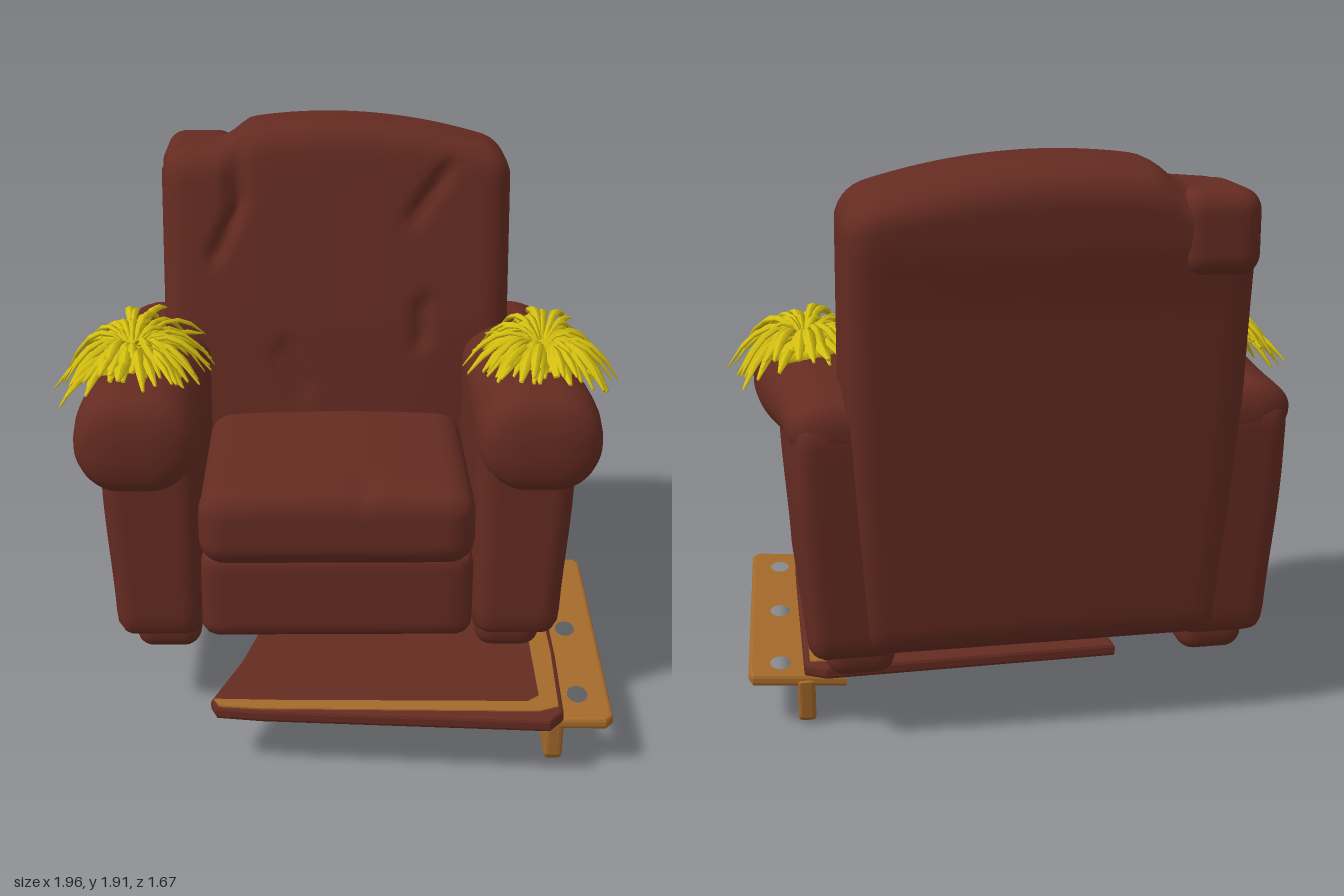
import * as THREE from 'three';
import { mergeGeometries, mergeVertices } from 'three/addons/utils/BufferGeometryUtils.js';

const clamp = THREE.MathUtils.clamp, smooth = THREE.MathUtils.smoothstep, lerp = THREE.MathUtils.lerp;
const leather = new THREE.MeshStandardMaterial({ color: 0x642b21 });
leather.name = 'leather brown';
const wood = new THREE.MeshStandardMaterial({ color: 0xa4692a });
wood.name = 'wood orange';
const grass = new THREE.MeshStandardMaterial({ color: 0xd2bd10 });
grass.name = 'grass yellow';

// piecewise linear curve through [x, y] pairs
function curve(points, x) {
  for (let i = 1; i < points.length; i++) {
    const [x0, y0] = points[i - 1], [x1, y1] = points[i];
    if (x <= x1) return lerp(y0, y1, clamp((x - x0) / (x1 - x0), 0, 1));
  }
  return points[points.length - 1][1];
}

// padded block between two corners, rounded by r, then shaped by a rule on each vertex
function pad(name, [x0, x1], [y0, y1], [z0, z1], r, rule = () => {}, n = 18) {
  const h = new THREE.Vector3(x1 - x0, y1 - y0, z1 - z0).multiplyScalar(0.5);
  const centre = new THREE.Vector3(x0 + x1, y0 + y1, z0 + z1).multiplyScalar(0.5);
  let g = new THREE.BoxGeometry(h.x * 2, h.y * 2, h.z * 2, n, n, n);
  g.deleteAttribute('uv');
  g.deleteAttribute('normal');
  g = mergeVertices(g);
  const p = g.attributes.position, v = new THREE.Vector3(), inner = new THREE.Vector3();
  const lim = h.clone().subScalar(r);
  for (let i = 0; i < p.count; i++) {
    v.fromBufferAttribute(p, i);
    inner.copy(v).clamp(lim.clone().negate(), lim);
    v.sub(inner).setLength(r).add(inner).add(centre);
    rule(v);
    p.setXYZ(i, v.x, v.y, v.z);
  }
  g.computeVertexNormals();
  return named(name, g, leather);
}

function named(name, geometry, material) {
  const m = new THREE.Mesh(geometry, material);
  m.name = name;
  return m;
}

// small creases in the backrest: x0, y0, x1, y1, depth
const creases = [[-0.36, 1.82, -0.35, 1.62, 0.05], [-0.35, 1.62, -0.43, 1.45, 0.035],
  [0.4, 1.75, 0.28, 1.58, 0.03], [0.31, 1.26, 0.31, 1.13, 0.03], [-0.2, 1.1, -0.12, 0.95, 0.02]];

function creaseDepth(x, y) {
  let d = 0;
  for (const [ax, ay, bx, by, depth] of creases) {
    const ex = bx - ax, ey = by - ay;
    const t = clamp(((x - ax) * ex + (y - ay) * ey) / (ex * ex + ey * ey), 0, 1);
    d = Math.max(d, depth * Math.exp(-((Math.hypot(x - ax - ex * t, y - ay - ey * t) / 0.025) ** 2)));
  }
  return d;
}

// arched top edge with a lower step at one corner
const crown = (x) => lerp(1.82 + (x + 0.38) * 0.08, 1.905 - 0.26 * (x + 0.03) ** 2, smooth(x, -0.42, -0.3));
const frontZ = [[0.3, -0.25], [0.85, -0.29], [1.2, -0.32], [1.75, -0.395], [1.9, -0.42]];
const rearZ = [[0.3, -0.64], [1.45, -0.79], [1.65, -0.825], [1.9, -0.835]];

// leaning backrest
function backrest() {
  return pad('backrest', [-0.63, 0.63], [0.3, 1.9], [-0.21, 0.21], 0.09, (v) => {
    const f = (v.z + 0.21) / 0.42;
    v.y = 0.3 + (v.y - 0.3) * (crown(v.x) - 0.3) / 1.6;
    const bulge = 0.02 * Math.cos(v.x * 2.4), y = v.y;
    v.z = lerp(curve(rearZ, y) - bulge * 0.3, curve(frontZ, y) + bulge, f);
    if (f > 0.5) v.z -= creaseDepth(v.x, y);
    // top slopes down to the rear
    v.y -= 0.035 * smooth(y, 1.6, 1.85) * smooth(1 - f, 0.55, 1);
    v.x *= lerp(0.96, 1, smooth(y, 0.3, 1.2));
  }, 44);
}

// arm with a rolled top; s is the side
function arm(s) {
  const side = new THREE.Group();
  side.name = s > 0 ? 'leftArm' : 'rightArm';
  const span = (a, b) => (s > 0 ? [a, b] : [-b, -a]);
  const lean = (v) => { v.z -= 0.075 * smooth(-v.z, -0.2, 0.6) * (v.y - 0.3) / 0.8; };
  side.add(pad('armPanel', span(0.46, 0.79), [0.29, 1.12], [-0.63, 0.41], 0.07, (v) => {
    const a = v.x * s;
    v.x = s * (a - 0.03 * smooth(a, 0.5, 0.79) * smooth(-v.y, -0.9, -0.3));
    lean(v);
  }));
  side.add(pad('armRoll', span(0.46, 0.875), [0.85, 1.2], [-0.7, 0.45], 0.165, (v) => {
    // squarer ends with a tight edge
    const q = Math.abs(v.z + 0.125) - 0.41;
    if (q > 0) v.z = -0.125 + Math.sign(v.z + 0.125) * (0.41 + 0.165 * (q / 0.165) ** 0.4);
    const back = smooth(-v.z, -0.35, 0.65), a = v.x * s;
    v.x = s * (a - 0.07 * back * smooth(a, 0.5, 0.87));
    v.y += 0.14 * back * clamp((1.19 - v.y) / 0.35, 0, 1) - 0.015 * back;
    v.y -= 0.02 * smooth(v.z, 0.25, 0.45);
  }, 28));
  side.add(pad('frontFoot', span(0.475, 0.7), [0.225, 0.5], [0.06, 0.36], 0.06, undefined, 12));
  side.add(pad('backFoot', span(0.475, 0.7), [0.22, 0.5], [-0.58, -0.23], 0.06, undefined, 12));
  return side;
}

// tuft of spiky drooping blades lying over an arm
function tuft(s) {
  let seed = s > 0 ? 17 : 91;
  const rnd = () => (seed = (seed * 16807) % 2147483647) / 2147483647;
  rnd();
  const blades = [];
  for (let i = 0; i < 95; i++) {
    const a = i * 2.39996 + rnd() * 0.5, c = Math.cos(a), sn = Math.sin(a);
    const reach = 0.5 + 0.5 * rnd();
    const rx = 0.285 * reach, rz = 0.4 * reach;
    const outward = c * s > 0 ? 0.24 : 0.13;
    const lift = 0.1 + 0.22 * rnd();
    const drop = lift + (outward * c * c * (0.6 + 0.4 * rnd()) - 0.06 * rnd()) * reach * reach;
    const w = 0.014 + 0.009 * rnd();
    const g = new THREE.CylinderGeometry(0.5, 0.6, 1, 5, 5);
    const p = g.attributes.position;
    for (let j = 0; j < p.count; j++) {
      const t = p.getY(j) + 0.5, r = w * (0.55 + Math.sin(Math.PI * t * t));
      const u = p.getX(j) * r * 1.3, q = 0.08 + 0.92 * t;
      p.setXYZ(j, s * 0.705 + c * rx * q - sn * u,
        1.205 + lift * q - drop * q * q + p.getZ(j) * r * 0.7, 0.025 + sn * rz * q + c * u);
    }
    g.computeVertexNormals();
    blades.push(g);
  }
  blades.push(new THREE.SphereGeometry(1, 16, 8).scale(0.14, 0.05, 0.2).translate(s * 0.71, 1.19, 0.03));
  return named(s > 0 ? 'leftGrassTuft' : 'rightGrassTuft', mergeGeometries(blades), grass);
}

// flat plate from [x, z] points with its top at y
function plate(name, points, y, thick, material, bevel = 0, holes = []) {
  const shape = new THREE.Shape(points.map(([x, z]) => new THREE.Vector2(x, z)));
  shape.holes = holes;
  const g = new THREE.ExtrudeGeometry(shape, { depth: thick - 2 * bevel, bevelEnabled: bevel > 0,
    bevelSize: bevel, bevelThickness: bevel, bevelOffset: -bevel, bevelSegments: 2, curveSegments: 16 });
  return named(name, g.rotateX(Math.PI / 2).translate(0, y - bevel, 0), material);
}

// loose footboard with its trim
function footboard() {
  const g = new THREE.Group();
  g.name = 'footboard';
  g.add(plate('board', [[-0.42, 0.67], [-0.4, 0.72], [-0.25, 0.745], [0.68, 0.83], [0.73, 0.77], [0.75, 0.4],
    [0.77, -0.46], [0.7, -0.5], [-0.28, -0.46], [-0.25, 0.1], [-0.33, 0.42]], 0.225, 0.045, leather, 0.012));
  g.add(plate('boardTrim', [[-0.41, 0.672], [-0.39, 0.715], [-0.25, 0.735], [0.65, 0.775], [0.715, 0.75],
    [0.735, 0.4], [0.75, -0.45], [0.69, -0.45], [0.66, 0.68], [0.62, 0.715], [-0.2, 0.685]], 0.229, 0.006, wood));
  g.rotation.z = 0.012;
  return g;
}

// rail beside the board: pierced flange over a web
function rail() {
  const g = new THREE.Group();
  g.name = 'rail';
  const holes = [0.61, 0.16, -0.3].map((z) => new THREE.Path().absellipse(0.83, z, 0.046, 0.065, 0, Math.PI * 2, true));
  const flange = plate('railFlange', [[0.61, 0.755], [0.91, 0.77], [0.935, 0.74], [0.935, -0.36], [0.92, -0.4],
    [0.61, -0.41]], 0.02, 0.04, wood, 0.012, holes);
  flange.position.set(0, 0.122, 0);
  flange.rotation.z = 0.05;
  g.add(flange);
  const side = new THREE.Shape();
  side.moveTo(-0.41, 0.15);
  side.lineTo(-0.39, 0.03);
  side.quadraticCurveTo(-0.38, 0.012, -0.34, 0.012);
  side.bezierCurveTo(-0.1, 0.035, 0.3, 0.035, 0.68, 0.012);
  side.quadraticCurveTo(0.73, 0.012, 0.74, 0.04);
  side.lineTo(0.75, 0.15);
  const web = new THREE.ExtrudeGeometry(side, { depth: 0.03, bevelSize: 0.012, bevelThickness: 0.014, bevelSegments: 3 });
  g.add(named('railWeb', web.rotateY(-Math.PI / 2).translate(0.758, 0, 0), wood));
  g.rotation.y = -0.045;
  g.position.z = -0.06;
  return g;
}

export function createModel() {
  const model = new THREE.Group();
  model.name = 'armchair';
  model.add(backrest());
  // lower bolster at one top corner
  model.add(pad('cornerBolster', [-0.63, -0.37], [1.54, 1.81], [-0.84, -0.48], 0.07));
  model.add(pad('seatCushion', [-0.47, 0.46], [0.58, 0.85], [-0.36, 0.46], 0.09, (v) => {
    const k = Math.cos(v.x * 3) * smooth(v.y, 0.65, 0.85);
    v.y += 0.02 * k - 0.02 * Math.exp(-(((v.x - 0.08) / 0.03) ** 2)) * smooth(v.z, 0.25, 0.45) * k;
  }, 28));
  model.add(pad('frontPanel', [-0.47, 0.46], [0.29, 0.62], [-0.55, 0.41], 0.06));
  for (const s of [1, -1]) model.add(arm(s), tuft(s));
  model.add(footboard(), rail());
  return model;
}
